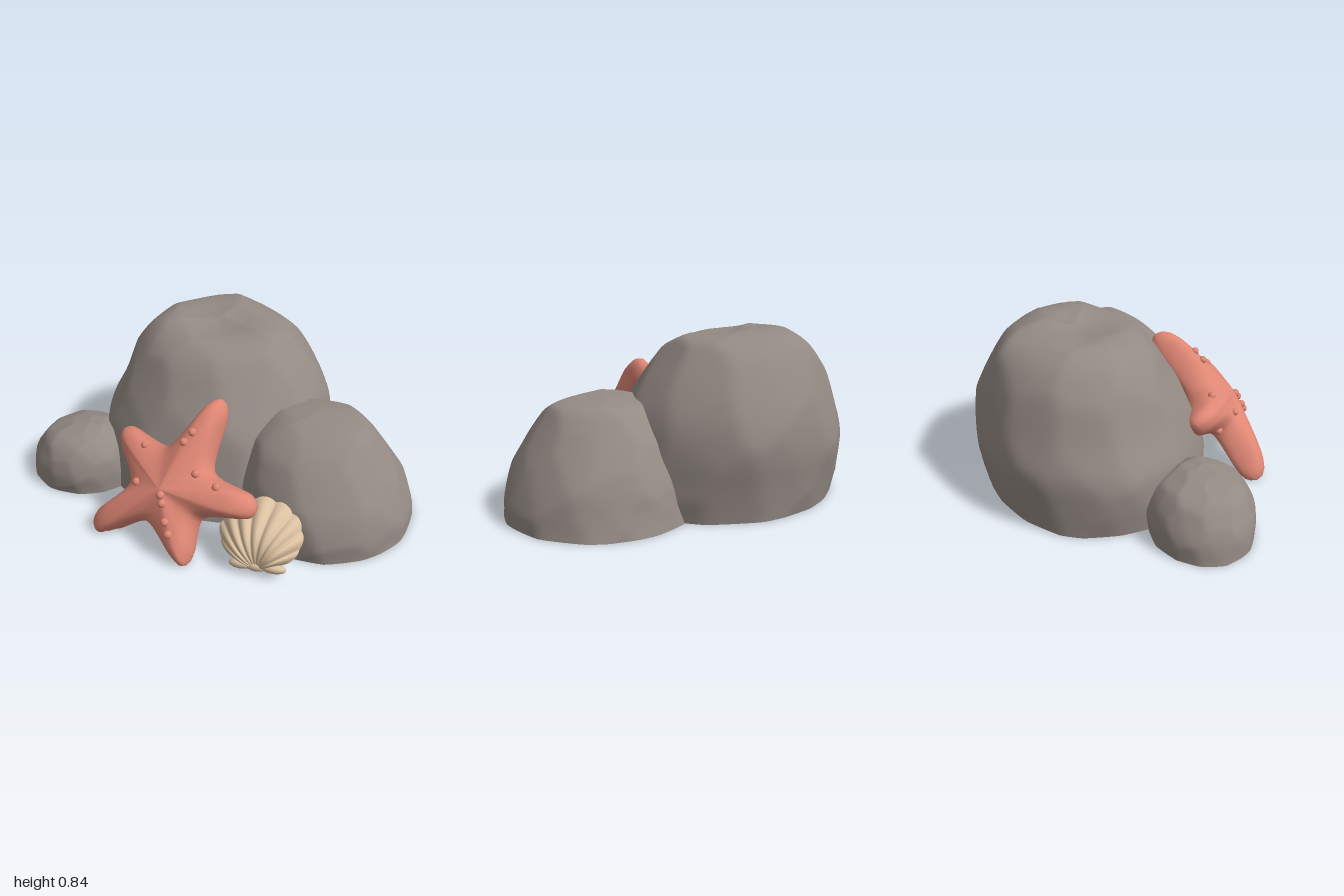
import * as THREE from 'three';

const mat = (name, color, side = THREE.FrontSide) => {
  const m = new THREE.MeshStandardMaterial({ color, side });
  m.name = name;
  return m;
};

// Smooth surface from a grid of points; fn(row, col) returns a Vector3.
function loft(rows, cols, closed, fn) {
  const pos = [], idx = [];
  for (let i = 0; i <= rows; i++)
    for (let j = 0; j < cols; j++) pos.push(...fn(i, j).toArray());
  for (let i = 0; i < rows; i++)
    for (let j = 0; j < (closed ? cols : cols - 1); j++) {
      const k = (j + 1) % cols, a = i * cols + j, b = i * cols + k, c = a + cols, d = b + cols;
      idx.push(a, c, b, b, c, d);
    }
  const g = new THREE.BufferGeometry();
  g.setAttribute('position', new THREE.Float32BufferAttribute(pos, 3));
  g.setIndex(idx);
  g.computeVertexNormals();
  return g;
}

// Unevenly spread directions whose tangent planes chip a rock into soft facets
function facetDirections(seed, count = 90) {
  const dirs = [];
  for (let k = 0; k < count; k++) {
    const y = 1 - (2 * k + 1) / count, r = Math.sqrt(1 - y * y), a = k * 2.39996 + seed;
    const wobble = (n) => 0.13 * Math.sin(k * 12.9898 * n + seed * 7);
    dirs.push(new THREE.Vector3(r * Math.cos(a) + wobble(1), y + wobble(2), r * Math.sin(a) + wobble(3)).normalize());
  }
  return dirs;
}

// Stone lofted through rows of [y, xMin, xMax, zMin, zMax], flat below.
function rockGeometry(rows, seed, bump, tilt) {
  const curve = (f) => new THREE.CatmullRomCurve3(rows.map(f), false, 'catmullrom', 0.5);
  const cx = curve((r) => new THREE.Vector3(r[1], r[2], r[0]));
  const cz = curve((r) => new THREE.Vector3(r[3], r[4], 0));
  const dirs = facetDirections(seed), dir = new THREE.Vector3();
  const n = 44, cols = 96, top = rows[rows.length - 1];
  return loft(n + 2, cols, true, (i, j) => {
    const t = Math.max(0, i - 2) / n, a = (j / cols) * Math.PI * 2, e = (t * Math.PI) / 2;
    const px = cx.getPoint(t), pz = cz.getPoint(t);
    const mx = (px.x + px.y) / 2, mz = (pz.x + pz.y) / 2;
    if (i === 0) return new THREE.Vector3(mx, 0, mz);
    dir.set(Math.cos(a) * Math.cos(e), Math.sin(e), Math.sin(a) * Math.cos(e));
    const facet = 1 / Math.max(...dirs.map((d) => d.dot(dir))) - 1.018;
    const p = new THREE.Vector3(mx + ((px.y - px.x) / 2) * Math.cos(a), px.z, mz + ((pz.y - pz.x) / 2) * Math.sin(a));
    p.addScaledVector(dir, facet * bump);
    p.y -= tilt * (p.z - top[3]) * (p.y / top[0]) ** 4;
    p.y = i < 3 ? 0 : Math.max(0, p.y);
    return p;
  });
}

// Starfish plane, leaning back against the large rock
const starNormal = new THREE.Vector3(-0.21, 0.77, 1).normalize();
const starCentre = new THREE.Vector2(-0.07, 0.235);
const starPlaneZ = (x, y) => 0.69 + 0.21 * x - 0.77 * y;

function starGeometry() {
  const tips = [[0.09, 0.62], [0.36, 0.29], [0.075, -0.01], [-0.45, 0.0], [-0.425, 0.36]];
  const valleys = [[0.11, 0.36], [0.105, 0.18], [-0.17, 0.095], [-0.29, 0.21], [-0.13, 0.395]];
  const outline = [];
  tips.forEach((t, k) => {
    const tip = new THREE.Vector2(...t);
    const d = tip.clone().sub(starCentre).normalize(), s = new THREE.Vector2(d.y, -d.x);
    for (const w of [-0.045, 0, 0.045]) {
      const q = tip.clone().addScaledVector(d, w ? -0.04 : 0).addScaledVector(s, w);
      outline.push(new THREE.Vector3(q.x, q.y, starPlaneZ(q.x, q.y) - (k === 4 ? 0.05 : 0)));
    }
    const [x, y] = valleys[k];
    outline.push(new THREE.Vector3(x, y, starPlaneZ(x, y)));
  });
  const curve = new THREE.CatmullRomCurve3(outline, true, 'catmullrom', 0.4);
  const centre = new THREE.Vector3(starCentre.x, starCentre.y, starPlaneZ(starCentre.x, starCentre.y));
  // Rings as [scale, height]: flat back, rounded rim, ridged front
  const rings = [[0, -0.055], [0.88, -0.055], [0.95, -0.045], [0.99, -0.025], [1, 0], [0.98, 0.03],
    [0.92, 0.06], [0.83, 0.08], [0.74, 0.092], [0.6, 0.105], [0.4, 0.119], [0.2, 0.131], [0.06, 0.138], [0, 0.139]];
  const cols = 120;
  return loft(rings.length - 1, cols, true, (i, j) => {
    const [s, h] = rings[i];
    const p = centre.clone().lerp(curve.getPoint(j / cols), s).addScaledVector(starNormal, h);
    p.y = Math.max(0, p.y);
    return p;
  });
}

// One ribbed fan valve; depth sets how far it bulges and to which side
function valveGeometry(depth) {
  const ribs = 9, cols = ribs * 10 + 1, rows = 16;
  return loft(rows, cols, false, (i, j) => {
    const t = i / rows, a = j / (cols - 1), phi = (a * 2 - 1) * 2.35;
    const rib = Math.abs(Math.sin(a * ribs * Math.PI));
    const rim = 0.98 + 0.04 * rib;
    const edge = 1 - Math.abs(a * 2 - 1) ** 3;
    const dome = Math.sin(Math.PI * t ** 0.8) * (0.4 + 0.6 * edge);
    const z = depth * dome + Math.sign(depth) * 0.02 * rib * Math.sqrt(t) * (1 - 0.6 * t ** 6);
    return new THREE.Vector3(0.195 * Math.sin(phi) * rim * t, (0.165 + 0.165 * Math.cos(phi)) * rim * t, z);
  });
}

export function createModel() {
  const group = new THREE.Group();
  const stone = mat('stone grey', 0x948a84);
  const coral = mat('coral red', 0xde8674);
  const sand = mat('shell sand', 0xdac0a0, THREE.DoubleSide);
  const add = (parent, name, geometry, material) => {
    const m = new THREE.Mesh(geometry, material);
    m.name = name;
    parent.add(m);
    return m;
  };

  // Rocks
  add(group, 'largeRock', rockGeometry([
    [0, -0.68, 0.5, -0.69, 0.4], [0.15, -0.695, 0.505, -0.72, 0.39], [0.3, -0.685, 0.5, -0.74, 0.35],
    [0.45, -0.62, 0.47, -0.72, 0.29], [0.6, -0.56, 0.39, -0.66, 0.21], [0.72, -0.49, 0.29, -0.58, 0.14],
    [0.785, -0.42, 0.21, -0.47, 0.07], [0.81, -0.34, 0.12, -0.36, -0.02], [0.8, -0.22, 0, -0.28, -0.12],
    [0.79, -0.1, -0.1, -0.2, -0.2]], 1.3, 0.42, 0.12), stone);
  add(group, 'rightRock', rockGeometry([
    [0, 0.12, 1, -0.4, 0.495], [0.1, 0.12, 0.985, -0.375, 0.5], [0.2, 0.13, 0.95, -0.35, 0.485],
    [0.32, 0.16, 0.885, -0.29, 0.435], [0.43, 0.21, 0.81, -0.21, 0.36], [0.5, 0.28, 0.745, -0.14, 0.27],
    [0.53, 0.36, 0.66, -0.04, 0.18], [0.54, 0.5, 0.5, 0.06, 0.06]], 4.1, 0.26, 0), stone);
  add(group, 'leftRock', rockGeometry([
    [0, -1, -0.45, -0.06, 0.42], [0.1, -0.985, -0.45, -0.07, 0.43], [0.18, -0.945, -0.465, -0.05, 0.41],
    [0.245, -0.895, -0.51, 0, 0.37], [0.285, -0.8, -0.56, 0.07, 0.3], [0.305, -0.72, -0.61, 0.13, 0.24],
    [0.31, -0.67, -0.67, 0.18, 0.18]], 2.6, 0.18, 0), stone);

  // Starfish with small knobs resting on its front
  const starfish = new THREE.Group();
  starfish.name = 'starfish';
  group.add(starfish);
  const body = add(starfish, 'starfishBody', starGeometry(), coral);
  const knob = new THREE.SphereGeometry(0.02, 14, 10);
  const ray = new THREE.Raycaster();
  const spots = [[0, 0.535], [-0.03, 0.495], [-0.245, 0.405], [-0.235, 0.285], [-0.3, 0.23], [-0.08, 0.3],
    [-0.065, 0.27], [-0.035, 0.2], [-0.01, 0.155], [0.055, 0.385], [0.12, 0.375], [0.17, 0.365]];
  for (const [x, y] of spots) {
    ray.set(new THREE.Vector3(x, y, 2), new THREE.Vector3(0, 0, -1));
    const hit = ray.intersectObject(body)[0];
    if (hit) add(starfish, 'starfishKnob', knob, coral).position.copy(hit.point);
  }

  // Scallop shell leaning on the right rock
  const shell = new THREE.Group();
  shell.name = 'shell';
  shell.position.set(0.4, 0.02, 0.645);
  shell.rotation.set(-0.64, 0, 0.08);
  group.add(shell);
  add(shell, 'frontValve', valveGeometry(0.1), sand);
  add(shell, 'backValve', valveGeometry(-0.05), sand);
  const lobe = new THREE.SphereGeometry(1, 18, 12);
  for (const [x, w, h] of [[0, 0.05, 0.026], [-0.075, 0.055, 0.024], [0.08, 0.06, 0.024]]) {
    const m = add(shell, 'hinge', lobe, sand);
    m.position.set(x, 0.02, 0.015);
    m.scale.set(w, h, 0.035);
  }
  return group;
}
